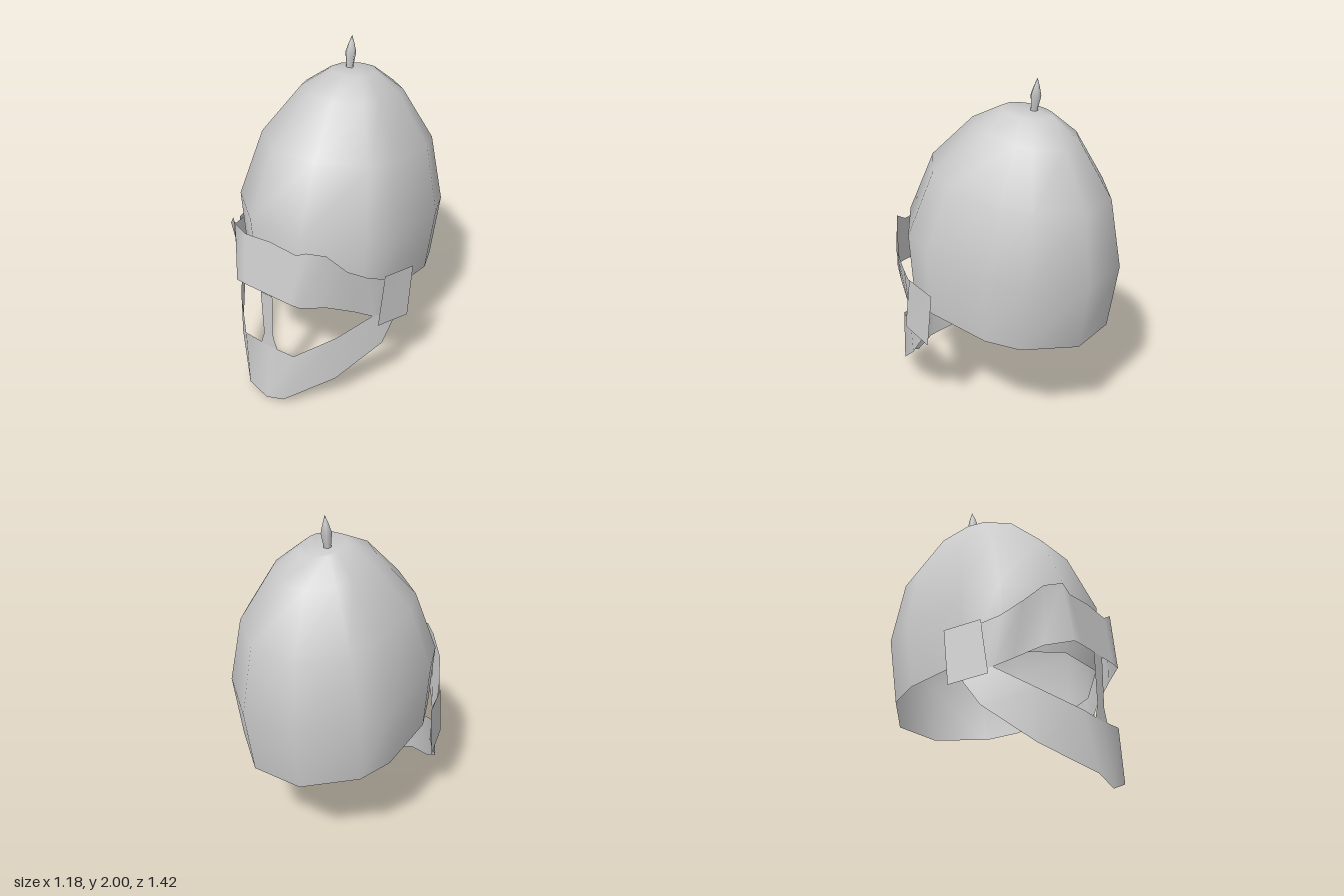
import * as THREE from 'three';

const steel = new THREE.MeshStandardMaterial({ color: 0xcccccc, side: THREE.DoubleSide });

// Smooth surface through rows of points, lowest row first, each running to the right
function loft(name, rows, closed = false, capped = false) {
  const n = rows[0].length, index = [];
  for (let r = 0; r < rows.length - 1; r++) {
    for (let i = 0; i < (closed ? n : n - 1); i++) {
      const j = (i + 1) % n, a = r * n, b = a + n;
      index.push(a + i, a + j, b + j, a + i, b + j, b + i);
    }
  }
  const top = (rows.length - 1) * n;
  if (capped) for (let i = 1; i < n - 1; i++) index.push(top, top + i, top + i + 1);
  const geo = new THREE.BufferGeometry();
  geo.setAttribute('position', new THREE.Float32BufferAttribute(rows.flat(2), 3));
  geo.setIndex(index);
  geo.computeVertexNormals();
  const mesh = new THREE.Mesh(geo, steel);
  mesh.name = name;
  return mesh;
}

// Completes a half row that starts on the centre line
const mirrorRow = half => [...half.slice(1).reverse().map(([x, y, z]) => [-x, y, z]), ...half];

export function createModel() {
  const helmet = new THREE.Group();
  helmet.name = 'helmet';

  // Dome: tilted twelve-sided rings, each [scale, centre y, centre z]
  const quarter = [[0.17, 0.64], [0.45, 0.41], [0.53, 0.205]];
  const right = [...quarter, ...quarter.map(([x, z]) => [x, -z]).reverse()];
  const plan = [...right, ...right.map(([x, z]) => [-x, -z])]
    .sort((p, q) => Math.atan2(p[0], p[1]) - Math.atan2(q[0], q[1]));
  const rings = [[0.94, 0.65, -0.05], [1, 1.045, -0.07], [0.82, 1.435, -0.125],
    [0.48, 1.715, -0.165], [0.228, 1.82, -0.175]];
  helmet.add(loft('dome', rings.map(([s, y, z]) =>
    plan.map(([px, pz]) => [px * s, y + pz * s * 0.14, z + pz * s])), true, true));

  // Five-sided spike on the crown
  const spike = new THREE.Mesh(new THREE.LatheGeometry(
    [[0.024, 0], [0.022, 0.03], [0.032, 0.1], [0.018, 0.15], [0, 0.2]]
      .map(([r, y]) => new THREE.Vector2(r, y)), 5), steel);
  spike.name = 'crownSpike';
  spike.position.set(-0.04, 1.802, -0.188);
  spike.rotation.x = -0.12;
  helmet.add(spike);

  // Brow band with a wavy upper edge
  helmet.add(loft('browBand', [
    mirrorRow([[0, 0.75, 0.66], [0.16, 0.75, 0.66], [0.225, 0.75, 0.655], [0.33, 0.72, 0.53],
      [0.42, 0.65, 0.4], [0.49, 0.6, 0.32], [0.52, 0.59, 0.25], [0.55, 0.58, 0.14]]),
    mirrorRow([[0, 1.075, 0.61], [0.18, 1.06, 0.61], [0.25, 1.1, 0.61], [0.33, 1.075, 0.54],
      [0.42, 0.97, 0.47], [0.48, 0.89, 0.36], [0.53, 0.85, 0.27], [0.555, 0.83, 0.15]]),
  ]));

  // Chin guard below the eye openings
  helmet.add(loft('chinGuard', [
    mirrorRow([[0, 0, 0.71], [0.13, 0.05, 0.705], [0.36, 0.19, 0.5], [0.53, 0.39, 0.27],
      [0.548, 0.53, 0.17]]),
    mirrorRow([[0, 0.37, 0.662], [0.18, 0.38, 0.66], [0.36, 0.49, 0.49], [0.49, 0.6, 0.32],
      [0.555, 0.62, 0.13]]),
  ]));

  // Nose bar joining band and chin guard
  helmet.add(loft('noseBar', [[0.06, 0.37], [0.034, 0.45], [0.042, 0.75]]
    .map(([x, y]) => mirrorRow([[0, y, 0.662], [x, y, 0.661]]))));

  // Hinge plates flaring out at the temples
  for (const [side, name] of [[1, 'leftHingePlate'], [-1, 'rightHingePlate']]) {
    const rows = [
      [[0.53, 0.55, 0.32], [0.59, 0.52, 0.1]],
      [[0.535, 0.87, 0.27], [0.588, 0.845, 0.06]],
    ].map(row => row.map(([x, y, z]) => [x * side, y, z]));
    helmet.add(loft(name, side > 0 ? rows : rows.map(row => row.reverse())));
  }
  return helmet;
}
